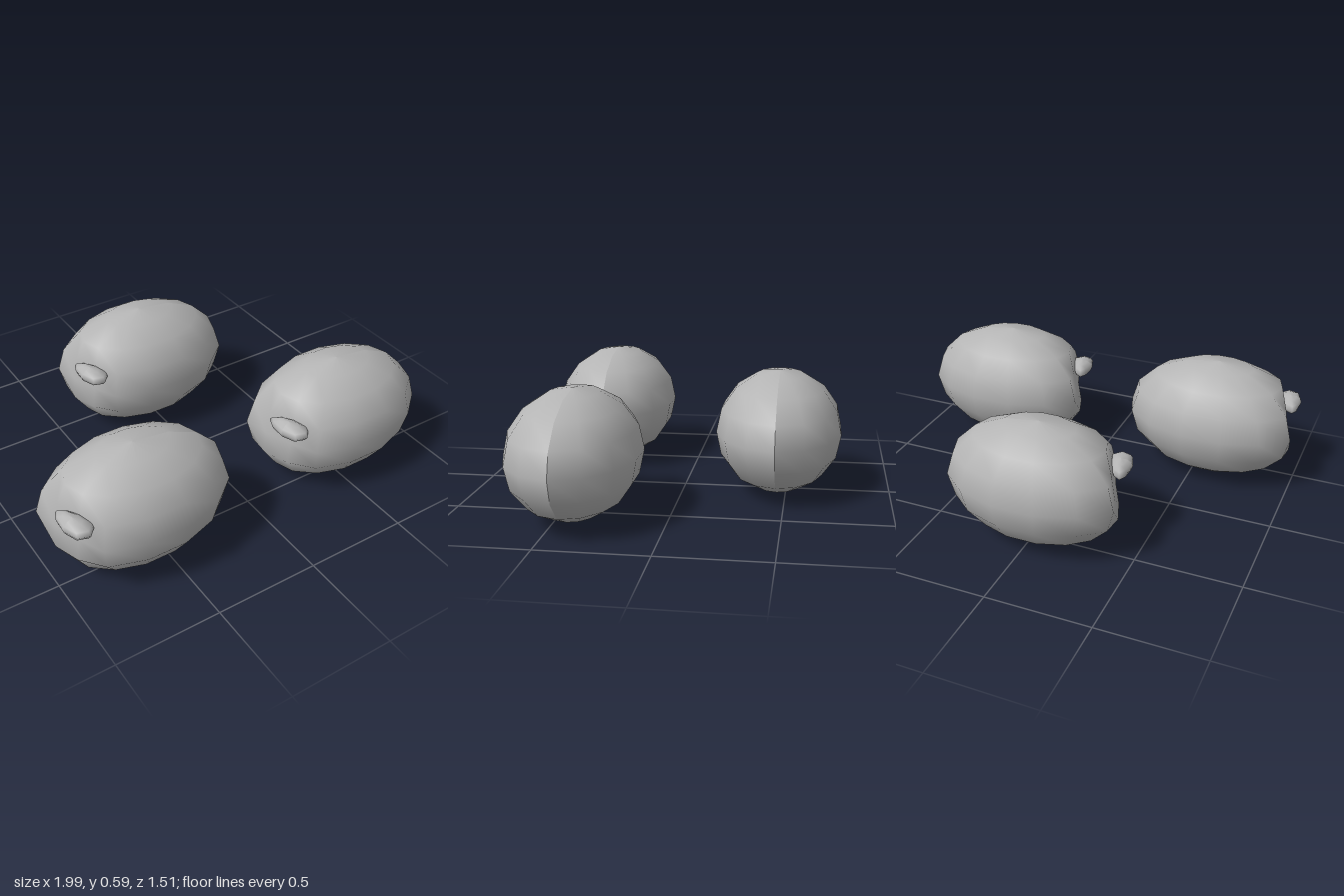
import * as THREE from 'three';

const grey = new THREE.MeshStandardMaterial({ color: 0xb4b4b4 });
grey.name = 'grey';

// Ellipsoid flattened on one side, where the nub sits
function bodyGeometry() {
  const geo = new THREE.SphereGeometry(1, 14, 8).rotateY(Math.PI).scale(0.455, 0.295, 0.307);
  const normal = new THREE.Vector3(-0.93, 0.15, 0.325).normalize();
  const limit = 0.34;
  const pos = geo.attributes.position;
  const p = new THREE.Vector3();
  for (let i = 0; i < pos.count; i++) {
    p.fromBufferAttribute(pos, i);
    const excess = p.dot(normal) - limit;
    if (excess > 0) p.addScaledVector(normal, -excess);
    pos.setXYZ(i, p.x, p.y, p.z);
  }
  geo.computeVertexNormals();
  return geo;
}

// Small flat teardrop, wider towards its front end
function nubGeometry() {
  const geo = new THREE.SphereGeometry(1, 8, 6);
  const pos = geo.attributes.position;
  for (let i = 0; i < pos.count; i++) {
    const z = pos.getZ(i);
    pos.setXYZ(i, pos.getX(i) * 0.054 * (1 + 0.4 * z), pos.getY(i) * 0.038, z * 0.108);
  }
  geo.computeVertexNormals();
  return geo;
}

export function createModel() {
  const model = new THREE.Group();
  model.name = 'ovalTrio';
  const bodyGeo = bodyGeometry();
  const nubGeo = nubGeometry();

  // Three identical ovals
  [[-0.585, 0.455], [0.54, 0.425], [-0.02, -0.46]].forEach(([x, z], i) => {
    const oval = new THREE.Group();
    oval.name = `oval${i + 1}`;
    oval.position.set(x, 0.295, z);

    const body = new THREE.Mesh(bodyGeo, grey);
    body.name = 'body';

    const nub = new THREE.Mesh(nubGeo, grey);
    nub.name = 'nub';
    nub.position.set(-0.35, 0.088, 0.108);
    nub.rotation.y = 0.28;

    oval.add(body, nub);
    model.add(oval);
  });
  return model;
}
